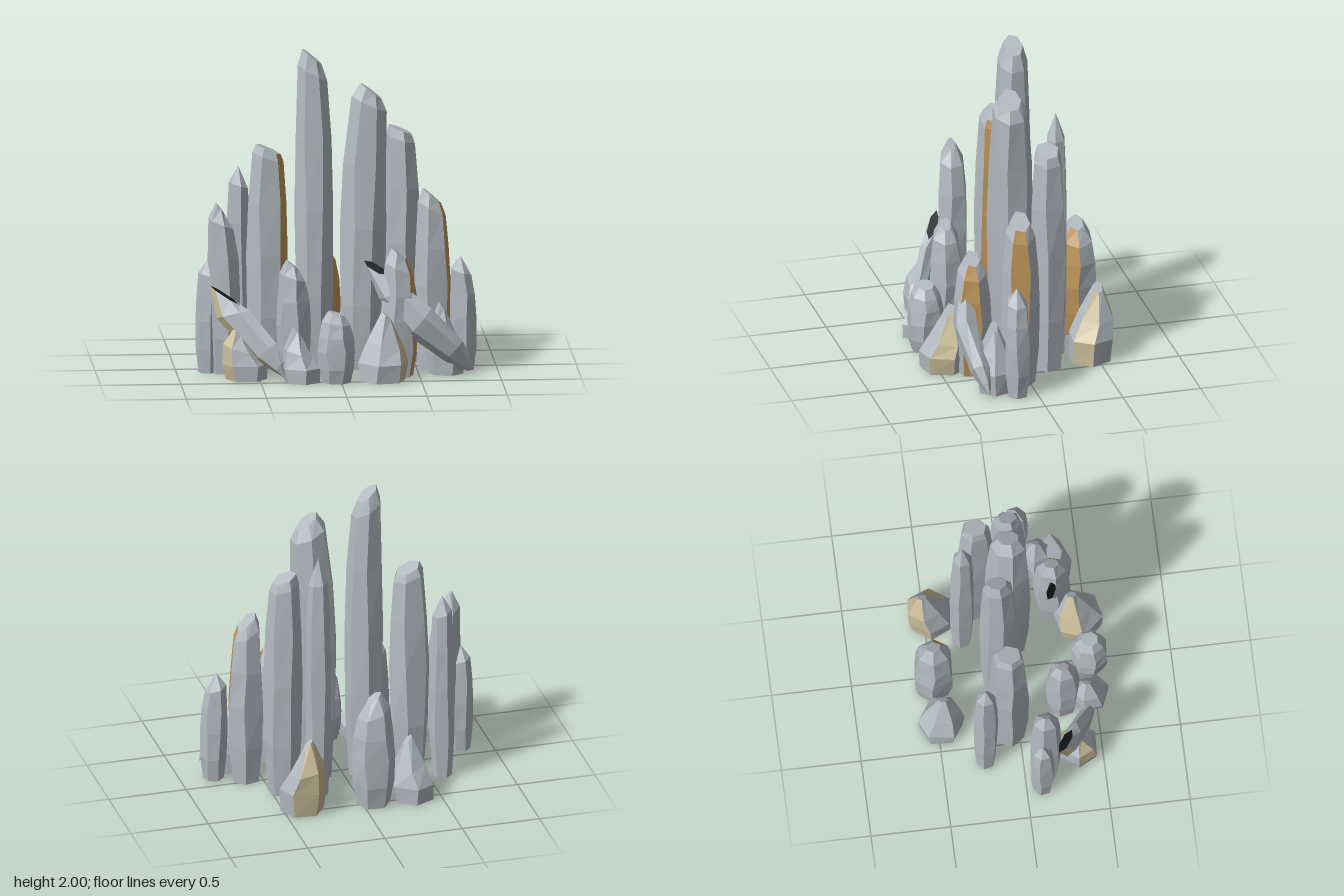
import * as THREE from 'three';

const mat = (name, color) => {
  const m = new THREE.MeshStandardMaterial({ color });
  m.name = name;
  return m;
};

// Faceted closed solid through rings of points; painted columns use the accent material.
function loft(rings, tip, painted) {
  const n = rings[0].length;
  const bins = [[], [], []]; // stone, accent, base
  const tri = (bin, ...pts) => pts.forEach((p) => bins[bin].push(p.x, p.y, p.z));
  const centre = (ring) => ring.reduce((s, p) => s.add(p), new THREE.Vector3()).divideScalar(n);
  const top = rings[rings.length - 1];
  const foot = centre(rings[0]);
  const peak = tip || centre(top);
  for (let i = 0; i < n; i++) {
    const j = (i + 1) % n;
    const bin = painted.includes(i) ? 1 : 0;
    for (let k = 0; k < rings.length - 1; k++) {
      const a = rings[k], b = rings[k + 1];
      tri(bin, a[i], b[i], a[j]);
      tri(bin, a[j], b[i], b[j]);
    }
    tri(tip ? bin : 0, peak, top[j], top[i]);
    tri(2, foot, rings[0][i], rings[0][j]);
  }
  const geo = new THREE.BufferGeometry();
  geo.setAttribute('position', new THREE.Float32BufferAttribute(bins.flat(), 3));
  let start = 0;
  bins.forEach((b, m) => {
    geo.addGroup(start, b.length / 3, m);
    start += b.length / 3;
  });
  geo.computeVertexNormals();
  return geo;
}

// Upright crystal: bulging prism with a bevelled, slanted or pointed top.
function crystal({ x, z, r, h, n = 6, rot = 0.3, cap = 0.07, drop = 0.08, top = 0.5, lean = [0, 0],
  point = false, paint = [], body = [[0, 0.76], [0.25, 0.95], [0.55, 1], [0.8, 0.93]] }) {
  const ring = (yAt, rad, f, k) => Array.from({ length: n }, (_, i) => {
    const wob = k && k < 4 ? 0.09 * Math.sin(i * 2.3 + k * 1.7 + x * 20) : 0;
    const a = rot + (i / n) * Math.PI * 2 + wob;
    return new THREE.Vector3(
      x + lean[0] * f + Math.cos(a) * rad, yAt(Math.cos(a)), z + lean[1] * f + Math.sin(a) * rad);
  });
  const shoulder = h - cap - drop;
  const slant = (y) => (c) => y - drop * (1 + c) / 2;
  const rings = body.map(([y, s], k) => ring(() => y * shoulder, r * s, y * y * 0.5, k));
  rings.push(ring(slant(h - cap), r * 0.76, 0.8, 4));
  let tip = null;
  if (point) tip = new THREE.Vector3(x + lean[0], h, z + lean[1]);
  else rings.push(ring(slant(h), r * top, 1, 5));
  return loft(rings, tip, paint);
}

// Fallen crystal: each station is [centre, half-width vector, half-thickness].
function shard(stations, tip, painted) {
  const V = (a) => new THREE.Vector3(...a);
  const end = V(tip);
  const dir = end.clone().sub(V(stations[0][0])).normalize();
  const n = 6;
  const rings = stations.map(([c, w, t]) => {
    const u = V(w);
    const v = u.clone().cross(dir).normalize().multiplyScalar(t);
    return Array.from({ length: n }, (_, i) => {
      const a = (i / n) * Math.PI * 2;
      return V(c).addScaledVector(u, Math.cos(a)).addScaledVector(v, Math.sin(a));
    });
  });
  return loft(rings, end, painted);
}

export function createModel() {
  const group = new THREE.Group();
  const stone = mat('grey stone', 0xb4bbc2);
  const ochre = mat('ochre face', 0xc0975a);
  const sand = mat('sand face', 0xcdbf9c);
  const dark = mat('dark base', 0x14181a);
  const add = (name, geo, accent) => {
    const m = new THREE.Mesh(geo, [stone, accent, dark]);
    m.name = name;
    group.add(m);
  };

  // Tall crystals
  const tall = [
    { x: -0.125, z: -0.085, r: 0.124, h: 2.0, n: 7, cap: 0.1, drop: 0.1, lean: [-0.015, -0.02] },
    { x: 0.165, z: 0.0, r: 0.148, h: 1.8, n: 7, cap: 0.08, drop: 0.1, lean: [0.055, 0.01], top: 0.45 },
    { x: 0.425, z: -0.175, r: 0.122, h: 1.5, cap: 0.06, drop: 0.06, lean: [-0.01, 0], top: 0.6 },
    { x: -0.425, z: -0.065, r: 0.13, h: 1.41, rot: -0.1, cap: 0.05, drop: 0.07, top: 0.6, lean: [0.01, 0], paint: [0] },
    { x: 0.6, z: 0.05, r: 0.12, h: 1.14, rot: -0.25, cap: 0.08, drop: 0.1, lean: [-0.005, 0], paint: [0] },
    { x: 0.225, z: -0.28, r: 0.08, h: 1.63, cap: 0.16, drop: 0.02, point: true },
    { x: -0.59, z: -0.23, r: 0.08, h: 1.24, cap: 0.1, drop: 0.04, point: true },
    { x: -0.7, z: 0.13, r: 0.105, h: 1.08, cap: 0.1, drop: 0.07, top: 0.25, lean: [-0.03, 0] },
  ];
  tall.forEach((c) => add('tallCrystal', crystal(c), ochre));

  // Short crystals
  const short = [
    { x: -0.07, z: -0.495, r: 0.137, h: 0.76, rot: 0.1, cap: 0.1, drop: 0.07, top: 0.35, paint: [0] },
    { x: 0.375, z: 0.3, r: 0.12, h: 0.81, rot: -0.2, cap: 0.09, drop: 0.08, top: 0.4, paint: [0] },
    { x: -0.28, z: 0.29, r: 0.11, h: 0.74, cap: 0.08, drop: 0.06, top: 0.35, lean: [-0.01, 0] },
    { x: 0.79, z: 0.12, r: 0.086, h: 0.72, cap: 0.08, drop: 0.04, point: true, lean: [-0.02, 0] },
    { x: -0.805, z: 0.1, r: 0.078, h: 0.71, cap: 0.08, drop: 0.03, point: true },
    { x: -0.03, z: 0.49, r: 0.12, h: 0.45, n: 7, cap: 0.06, drop: 0.03, top: 0.45 },
  ];
  short.forEach((c) => add('shortCrystal', crystal(c), ochre));

  // Low rough chunks around the edge
  const chunkBody = [[0, 0.92], [0.6, 1]];
  const chunks = [
    { x: 0.26, z: 0.455, r: 0.16, h: 0.43, rot: -0.2, cap: 0.18, lean: [0.03, -0.04], paint: [0, 3] },
    { x: 0.38, z: -0.455, r: 0.15, h: 0.5, rot: 0.1, cap: 0.18, lean: [-0.02, -0.06], paint: [0, 3, 4] },
    { x: -0.33, z: -0.48, r: 0.145, h: 0.42, rot: 0.6, cap: 0.18, lean: [0.03, 0.02] },
    { x: -0.58, z: 0.345, r: 0.14, h: 0.32, rot: 0.05, cap: 0.1, lean: [-0.05, 0], paint: [2, 5] },
    { x: -0.24, z: 0.465, r: 0.125, h: 0.35, rot: 0.4, cap: 0.14, lean: [-0.03, -0.02] },
    { x: 0.67, z: 0.235, r: 0.12, h: 0.45, rot: 0.2, cap: 0.16, lean: [-0.02, 0] },
  ];
  chunks.forEach((c) => add('chunk', crystal({ body: chunkBody, top: 0.2, drop: 0.06, ...c }), sand));

  // Fallen shards, base end up
  add('fallenShardRight', shard([
    [[-0.71, 0.515, 0.255], [0.09, -0.055, 0.05], 0.03],
    [[-0.66, 0.4, 0.3], [0.1, 0.03, 0.04], 0.05],
    [[-0.46, 0.18, 0.405], [0.06, 0.06, 0.03], 0.05],
    [[-0.38, 0.09, 0.45], [0.025, 0.035, 0.01], 0.03],
  ], [-0.35, 0.03, 0.47], [3]), sand);
  add('fallenShardLeft', shard([
    [[0.23, 0.68, 0.28], [0.07, -0.04, 0.03], 0.03],
    [[0.33, 0.53, 0.33], [0.08, 0.04, 0.02], 0.05],
    [[0.5, 0.35, 0.37], [0.07, 0.09, 0.02], 0.075],
    [[0.71, 0.16, 0.34], [0.06, 0.06, 0], 0.06],
    [[0.78, 0.08, 0.32], [0.035, 0.04, 0], 0.03],
  ], [0.83, 0.03, 0.31], []), sand);

  return group;
}
